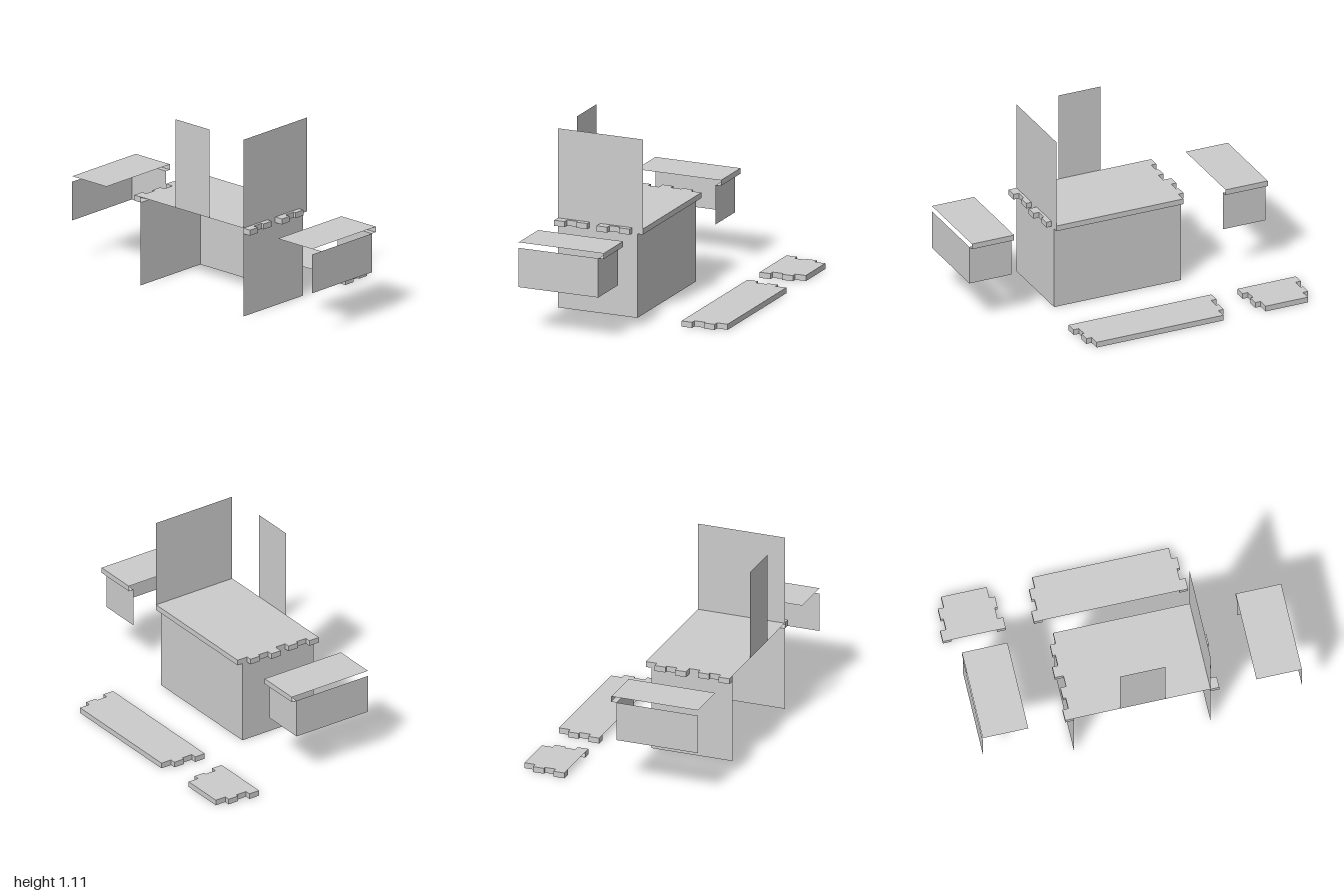
import * as THREE from 'three';
import { mergeGeometries } from 'three/addons/utils/BufferGeometryUtils.js';

const U = 0.0695;                       // grid unit of the kit
const T = U / 2;                        // slab thickness
const STEPS = [0.053, 0.018, 0.035, 0]; // repeating depths of the stone edge
const X0 = -8 * U, WX = -T;             // outer end and side wall plane
const ZF = 0.442, ZB = ZF - 12 * U;     // front and back wall planes
const H = 8 * U;                        // storey height

const material = new THREE.MeshStandardMaterial({ color: 0xcccccc, side: THREE.DoubleSide });

function add(group, name, geometry) {
  const mesh = new THREE.Mesh(geometry, material);
  mesh.name = name;
  group.add(mesh);
}

// Thin upright wall following [x, z] points between two heights
function wall(points, y0, y1) {
  const pos = [];
  for (let i = 0; i + 1 < points.length; i++) {
    const [ax, az] = points[i], [bx, bz] = points[i + 1];
    pos.push(ax, y0, az, bx, y0, bz, bx, y1, bz, ax, y0, az, bx, y1, bz, ax, y1, az);
  }
  const g = new THREE.BufferGeometry();
  g.setAttribute('position', new THREE.Float32BufferAttribute(pos, 3));
  g.computeVertexNormals();
  return g;
}

// Flat horizontal sheet from an [x, z] outline, facing up or down
function sheet(points, y, up = true) {
  const shape = new THREE.Shape(points.map(([x, z]) => new THREE.Vector2(x, -z)));
  const g = new THREE.ShapeGeometry(shape).rotateX(-Math.PI / 2).toNonIndexed();
  g.deleteAttribute('uv');
  if (!up) {
    const p = g.attributes.position;
    for (let i = 0; i < p.count; i += 3) {
      const a = new THREE.Vector3().fromBufferAttribute(p, i);
      p.setXYZ(i, p.getX(i + 1), p.getY(i + 1), p.getZ(i + 1));
      p.setXYZ(i + 1, a.x, a.y, a.z);
    }
    g.computeVertexNormals();
  }
  return g.translate(0, y, 0);
}

const rect = (x0, x1, z0, z1) => [[x0, z0], [x0, z1], [x1, z1], [x1, z0]];

// Hollow slab with stepped stones along both ends, open on its -x side
function steppedSlab(name, x0, cells, zb, zf, y) {
  const group = new THREE.Group();
  group.name = name;
  const x1 = x0 + cells * U, front = [], back = [], under = [];
  front.push([x0, zf]);
  back.push([x0, zb]);
  for (let i = 0; i < cells; i++) {
    const d = STEPS[i % 4], a = x0 + i * U, b = a + U;
    front.push([a, zf + d], [b, zf + d]);
    back.push([a, zb - d], [b, zb - d]);
    if (d) under.push(sheet(rect(a, b, zf, zf + d), y, false), sheet(rect(a, b, zb - d, zb), y, false));
  }
  under.push(sheet(rect(x1 - T, x1, zb, zf), y, false));
  const edge = [...front, ...back.reverse()];
  add(group, 'slabTop', sheet(edge.slice(1, -1), y + T));
  add(group, 'slabEdge', wall(edge, y, y + T));
  add(group, 'slabUnderside', mergeGeometries(under));
  return group;
}

// Small roofed corner: one long wall, one side wall, a roof with a lip
function cornerBlock(name, zWall, zOpen) {
  const group = new THREE.Group();
  group.name = name;
  const z0 = Math.min(zWall, zOpen), z1 = Math.max(zWall, zOpen);
  add(group, 'cornerWalls', wall([[X0, zWall], [WX, zWall], [WX, zOpen]], H / 2, H - T));
  add(group, 'cornerRoof', sheet(rect(X0, 0, z0, z1), H));
  add(group, 'roofEdge', wall([[0, z1], [0, z0]], H - T, H));
  add(group, 'roofLip', sheet(rect(WX, 0, z0, z1), H - T, false));
  return group;
}

export function createModel() {
  const model = new THREE.Group();
  model.name = 'wallKit';

  // Main block: three lower walls under a stepped floor
  add(model, 'lowerWalls', wall([[X0, ZF], [WX, ZF], [WX, ZB], [X0, ZB]], 0, H - T));
  model.add(steppedSlab('mainFloor', X0, 8, ZB, ZF, H - T));

  // Upper storey: full front wall and a narrow side panel
  add(model, 'upperFrontWall', wall([[X0, ZF], [0, ZF]], H, 2 * H));
  add(model, 'upperSidePanel', wall([[X0, 0.167], [X0, 0.167 - 4 * U]], H, 2 * H));

  // Separate corner blocks in front and behind
  model.add(cornerBlock('frontCorner', 1, 1 - 4 * U));
  model.add(cornerBlock('backCorner', -0.948, -0.948 + 4 * U));

  // Loose floor slabs on the ground
  model.add(steppedSlab('longSlab', 4 * U, 4, ZB, ZF, 0));
  model.add(steppedSlab('shortSlab', 4 * U, 4, -0.948, -0.948 + 4 * U, 0));
  return model;
}
